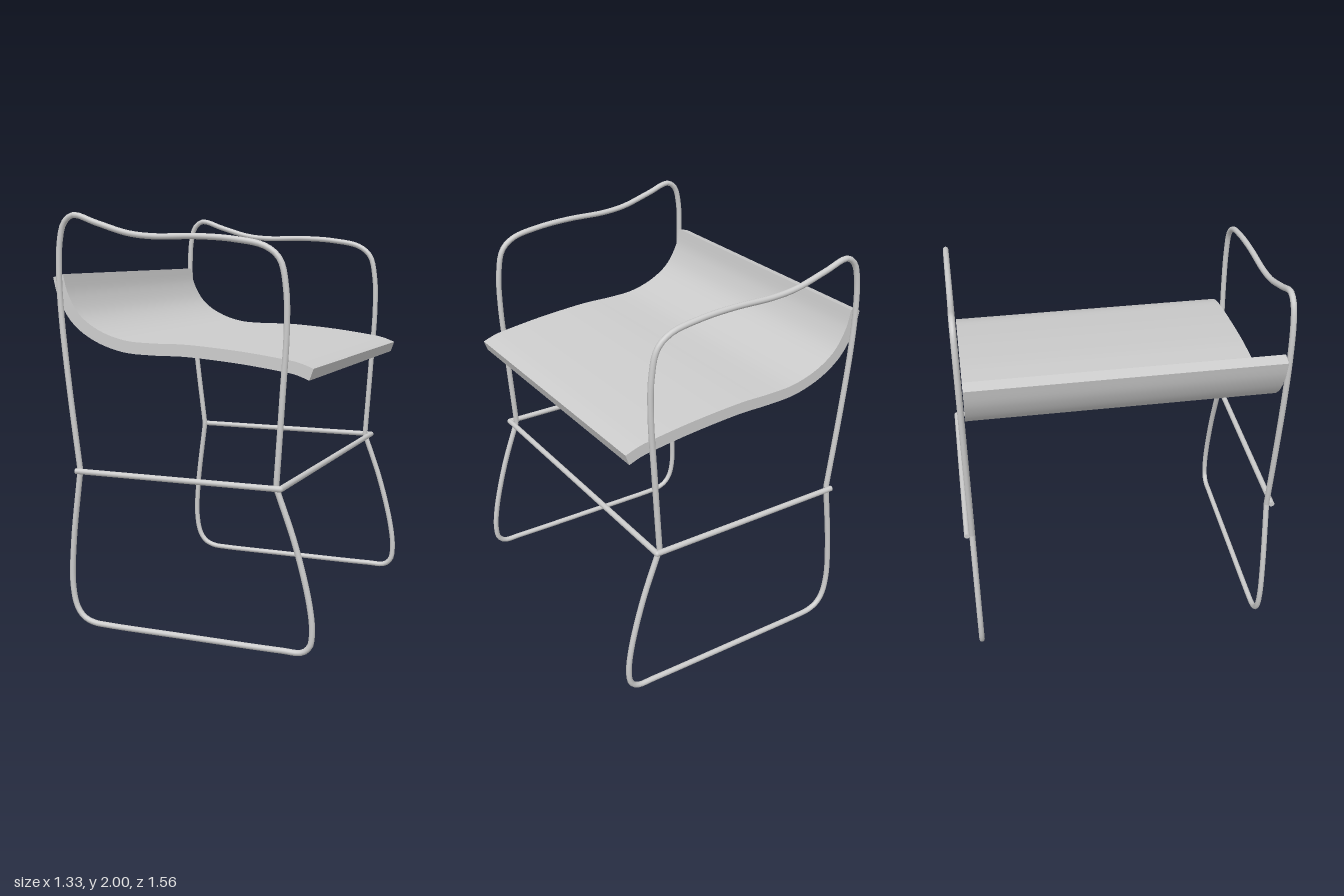
import * as THREE from 'three';
import { toCreasedNormals } from 'three/addons/utils/BufferGeometryUtils.js';

const RADIUS = 0.014;   // tube radius
const FRAME_Z = 0.74;   // side frame plane
const BAR_Z = 0.765;    // stretcher lies just outside the frames
const BAR_Y = 0.775;

// Side frame above and below the pinched waist, in the x-y plane
const UPPER = [
  [-0.53, 0.775], [-0.58, 1.18], [-0.612, 1.5], [-0.621, 1.71], [-0.612, 1.87], [-0.588, 1.95],
  [-0.54, 1.984], [-0.415, 1.947], [-0.255, 1.9], [-0.125, 1.885], [0.09, 1.885], [0.27, 1.872],
  [0.42, 1.84], [0.485, 1.785], [0.514, 1.66], [0.518, 1.475], [0.5, 1.18], [0.473, 0.775],
];
const LOWER = [
  [0.473, 0.775], [0.565, 0.52], [0.633, 0.257], [0.648, 0.125], [0.637, 0.055], [0.6, 0.022],
  [0.5, 0.018], [0, 0.016], [-0.4, 0.016], [-0.47, 0.02], [-0.525, 0.042], [-0.562, 0.09],
  [-0.584, 0.2], [-0.575, 0.415], [-0.53, 0.775],
];
// Centre line of the seat sling, from the raised edge to the drooping edge
const SEAT = [
  [-0.638, 1.703], [-0.611, 1.605], [-0.545, 1.5], [-0.437, 1.425], [-0.297, 1.38], [-0.15, 1.37],
  [0.008, 1.37], [0.167, 1.36], [0.325, 1.345], [0.484, 1.324], [0.56, 1.311], [0.627, 1.287],
];

const grey = new THREE.MeshStandardMaterial({ color: 0xcccccc, roughness: 0.6 });

function addMesh(parent, name, geometry) {
  const mesh = new THREE.Mesh(geometry, grey);
  mesh.name = name;
  parent.add(mesh);
  return mesh;
}

// Bent tube through points in the x-y plane
function bentTube(points) {
  const curve = new THREE.CatmullRomCurve3(points.map(([x, y]) => new THREE.Vector3(x, y, 0)));
  return new THREE.TubeGeometry(curve, 120, RADIUS, 12);
}

// Straight capped rod between two points
function addRod(parent, name, a, b) {
  const rod = addMesh(parent, name, new THREE.CylinderGeometry(RADIUS, RADIUS, a.distanceTo(b), 12));
  rod.position.copy(a).lerp(b, 0.5);
  rod.quaternion.setFromUnitVectors(new THREE.Vector3(0, 1, 0), b.clone().sub(a).normalize());
}

// Curved slab: the centre line offset to both sides, extruded across the chair
function seatGeometry(halfThickness, halfWidth) {
  const curve = new THREE.SplineCurve(SEAT.map(([x, y]) => new THREE.Vector2(x, y)));
  const top = [], bottom = [];
  const steps = 48;
  for (let i = 0; i <= steps; i++) {
    const p = curve.getPointAt(i / steps);
    const t = curve.getTangentAt(i / steps);
    const n = new THREE.Vector2(-t.y, t.x).multiplyScalar(halfThickness);
    top.push(p.clone().add(n));
    bottom.push(p.clone().sub(n));
  }
  const geometry = new THREE.ExtrudeGeometry(new THREE.Shape([...bottom, ...top.reverse()]), {
    depth: halfWidth * 2, bevelEnabled: false,
  });
  geometry.translate(0, 0, -halfWidth);
  return toCreasedNormals(geometry, Math.PI / 5);
}

export function createModel() {
  const chair = new THREE.Group();
  chair.name = 'chair';

  addMesh(chair, 'seat', seatGeometry(0.028, 0.722));

  // Two side frames, each an arm loop over a sled base
  for (const side of [1, -1]) {
    const frame = new THREE.Group();
    frame.name = side > 0 ? 'frontSideFrame' : 'rearSideFrame';
    frame.position.z = side * FRAME_Z;
    addMesh(frame, 'armLoop', bentTube(UPPER));
    addMesh(frame, 'sledBase', bentTube(LOWER));
    chair.add(frame);
  }

  // U-shaped stretcher around the waist, open on one side
  const stretcher = new THREE.Group();
  stretcher.name = 'stretcher';
  const corner = (side) => new THREE.Vector3(0.502, BAR_Y, side * BAR_Z);
  for (const side of [1, -1]) {
    addRod(stretcher, 'sideBar', new THREE.Vector3(-0.54, BAR_Y, side * BAR_Z), corner(side));
    addMesh(stretcher, 'cornerJoint', new THREE.SphereGeometry(RADIUS, 12, 8)).position.copy(corner(side));
  }
  addRod(stretcher, 'crossBar', corner(1), corner(-1));
  chair.add(stretcher);

  return chair;
}
